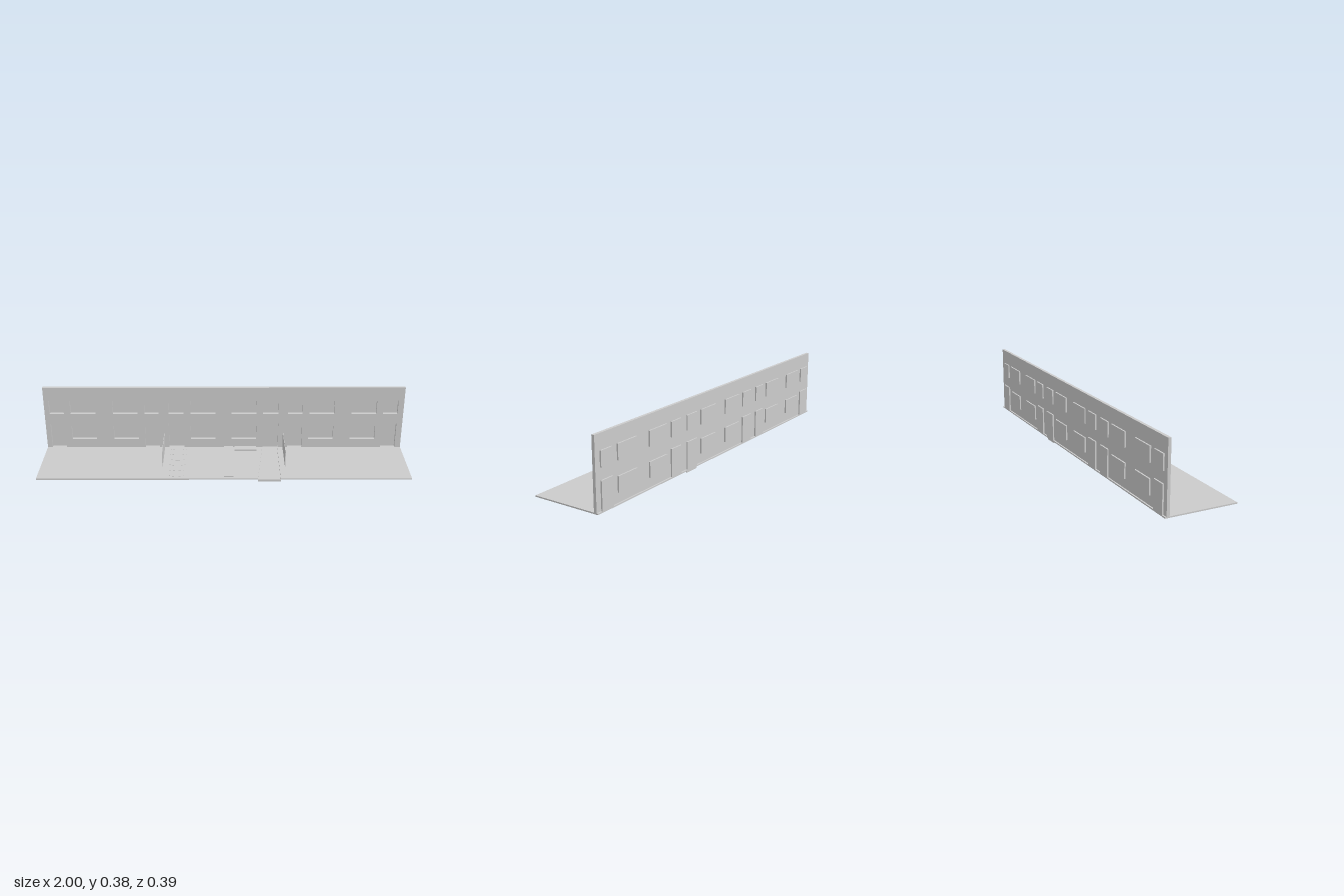
import * as THREE from 'three';

const material = new THREE.MeshStandardMaterial({ color: 0xcccccc, flatShading: true });
const GROUND = 0.018, WALL_BACK = -0.185, PANE_BACK = -0.193;

function shapeOf(points) {
  return new THREE.Shape(points.map(([x, y]) => new THREE.Vector2(x, y)));
}

const rect = (x0, x1, y0, y1) => [[x0, y0], [x1, y0], [x1, y1], [x0, y1]];

// Box given by its limits on each axis
function box(name, x0, x1, y0, y1, z0, z1) {
  const mesh = new THREE.Mesh(new THREE.BoxGeometry(x1 - x0, y1 - y0, z1 - z0), material);
  mesh.position.set((x0 + x1) / 2, (y0 + y1) / 2, (z0 + z1) / 2);
  mesh.name = name;
  return mesh;
}

// Horizontal plate from an outline of [x, -z] points
function plate(name, shape, y0, y1) {
  const geometry = new THREE.ExtrudeGeometry(shape, {
    depth: y1 - y0, bevelEnabled: false, curveSegments: 8,
  });
  geometry.rotateX(-Math.PI / 2);
  const mesh = new THREE.Mesh(geometry, material);
  mesh.position.y = y0;
  mesh.name = name;
  return mesh;
}

export function createModel() {
  const model = new THREE.Group();
  model.name = 'terraceFacade';

  // Openings: narrow bays hold a door below, wide bays a window
  const narrow = [[-0.973, -0.893], [-0.444, -0.364], [-0.31, -0.225],
    [0.219, 0.305], [0.358, 0.439], [0.888, 0.968]];
  const wide = [[-0.856, -0.717], [-0.62, -0.481], [-0.187, -0.048],
    [0.043, 0.182], [0.476, 0.615], [0.711, 0.85]];
  const openings = [];
  for (const [a, b] of narrow) {
    openings.push(['door', a, b, GROUND, 0.165], ['upperWindow', a, b, 0.226, 0.306]);
  }
  for (const [a, b] of wide) {
    openings.push(['lowerWindow', a, b, 0.069, 0.15], ['upperWindow', a, b, 0.226, 0.306]);
  }

  // Wall outline steps around the doors and has holes for the windows
  const outline = [[-1, GROUND]];
  for (const [a, b] of narrow) {
    outline.push([a, GROUND], [a, 0.165], [b, 0.165], [b, GROUND]);
  }
  outline.push([1, GROUND], [1, 0.385], [-1, 0.385]);
  const wallShape = shapeOf(outline);
  for (const [name, a, b, c, d] of openings) {
    if (name !== 'door') wallShape.holes.push(shapeOf(rect(a, b, c, d)));
  }
  const wall = new THREE.Mesh(
    new THREE.ExtrudeGeometry(wallShape, { depth: 0.016, bevelEnabled: false }), material);
  wall.position.z = WALL_BACK;
  wall.name = 'wall';
  model.add(wall);

  // Recessed panels that stand out behind the wall
  for (const [name, a, b, c, d] of openings) {
    model.add(box(name, a, b, name === 'door' ? 0.011 : c, d, PANE_BACK, WALL_BACK));
  }

  // Ground slab with a sunken tapering driveway
  const drive = [[0.18, -0.193], [0.302, -0.193], [0.302, 0.188], [0.219, 0.188]];
  const ground = shapeOf([[-1, -0.193], drive[0], drive[3], drive[2], drive[1],
    [1, -0.193], [1, 0.193], [-1, 0.193]]);
  model.add(plate('ground', ground, 0.011, GROUND));
  model.add(plate('driveway', shapeOf(drive), 0, 0.011));

  // Raised footpath and flower bed
  model.add(box('footpath', 0, 0.05, GROUND, 0.025, -0.169, 0.178));
  model.add(box('flowerBed', 0.06, 0.182, GROUND, 0.025, -0.166, -0.122));

  // Thin garden partitions
  for (const x of [-0.335, 0.333]) {
    model.add(box('partition', x - 0.001, x + 0.001, GROUND, 0.109, -0.169, 0.059));
  }

  // Shallow curved stepping ridges along the left garden
  for (let i = 0; i < 6; i++) {
    const z = 0.16 - i * 0.06;
    const ridge = new THREE.Shape();
    ridge.moveTo(-0.3, -z);
    ridge.quadraticCurveTo(-0.255, -z - 0.02, -0.21, -z);
    ridge.lineTo(-0.21, -z + 0.01);
    ridge.quadraticCurveTo(-0.255, -z - 0.01, -0.3, -z + 0.01);
    model.add(plate('steppingRidge', ridge, GROUND - 0.001, GROUND + 0.001));
  }
  return model;
}
